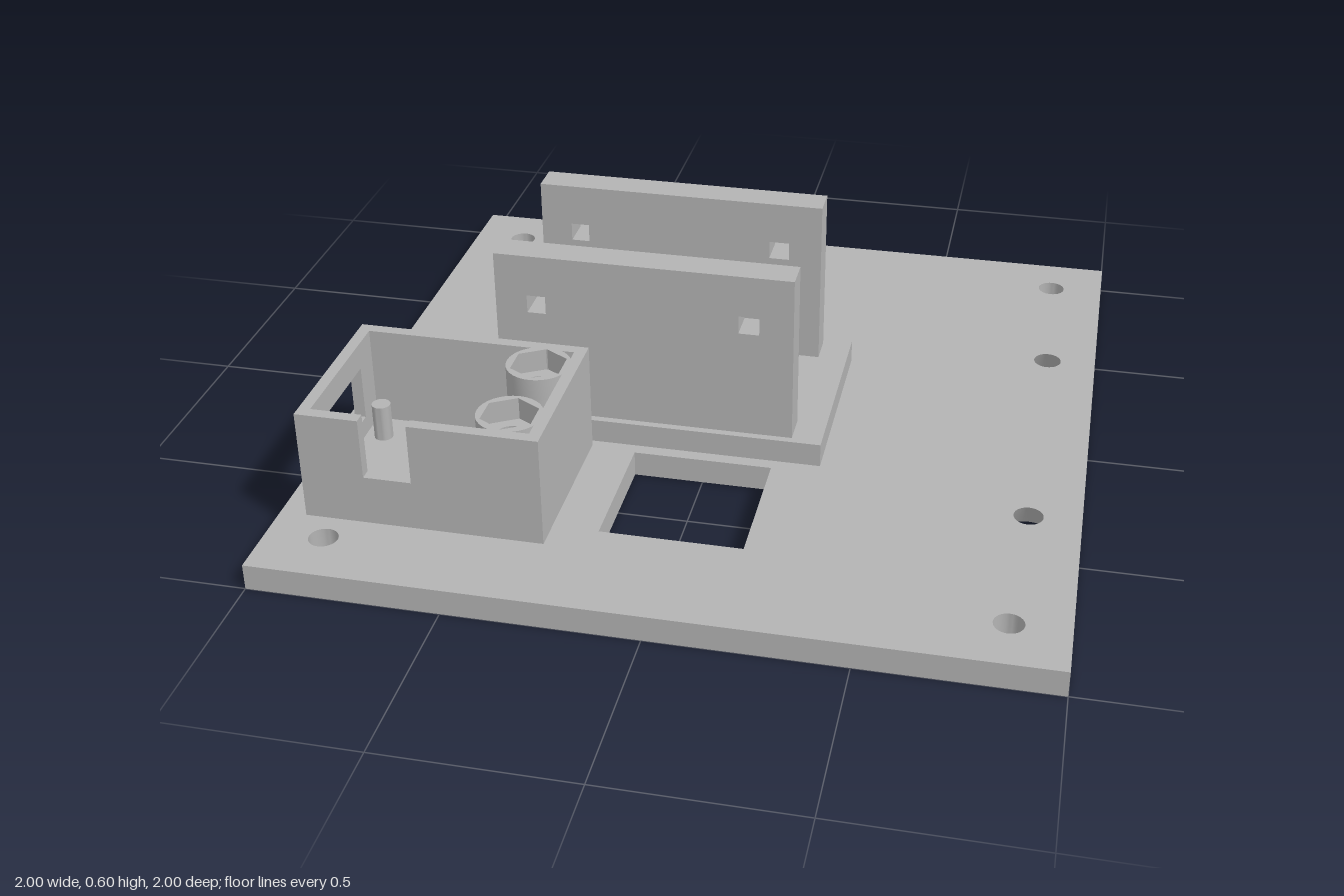
import * as THREE from 'three';
import { toCreasedNormals } from 'three/addons/utils/BufferGeometryUtils.js';

const grey = new THREE.MeshStandardMaterial({ color: 0xb3b3b3 });
grey.name = 'grey plastic';

function polygon(points, Type = THREE.Path) {
  return new Type(points.map(([x, y]) => new THREE.Vector2(x, y)));
}
function rect(x0, x1, y0, y1, Type = THREE.Path) {
  return polygon([[x0, y0], [x1, y0], [x1, y1], [x0, y1]], Type);
}
function circle(x, y, r, Type = THREE.Path) {
  const path = new Type();
  path.absarc(x, y, r, 0, Math.PI * 2, false);
  return path;
}
function hexagon(x, y, r) {
  const corners = [];
  for (let i = 0; i < 6; i++) {
    const a = Math.PI / 2 + i * Math.PI / 3;
    corners.push([x + r * Math.cos(a), y + r * Math.sin(a)]);
  }
  return polygon(corners);
}
function extrude(shape, holes, depth) {
  shape.holes.push(...holes);
  return new THREE.ExtrudeGeometry(shape, { depth, bevelEnabled: false, curveSegments: 16 });
}
function add(parent, name, geometry) {
  const mesh = new THREE.Mesh(toCreasedNormals(geometry, 0.6), grey);
  mesh.name = name;
  parent.add(mesh);
  return mesh;
}
// horizontal layer between two heights; outlines are drawn in (x, -z)
function layer(parent, name, y0, y1, shape, holes = []) {
  return add(parent, name, extrude(shape, holes, y1 - y0).rotateX(-Math.PI / 2).translate(0, y0, 0));
}
// upright panel facing z; outline is drawn in (x, y)
function panel(parent, name, z0, z1, shape, holes = []) {
  return add(parent, name, extrude(shape, holes, z1 - z0).translate(0, 0, z0));
}
function group(parent, name) {
  const g = new THREE.Group();
  g.name = name;
  parent.add(g);
  return g;
}

export function createModel() {
  const model = new THREE.Group();
  model.name = 'mountingBoard';
  const top = 0.07;

  // base plate with screw holes, shaft hole and square opening
  const base = group(model, 'base');
  const holes = [circle(0, 0, 0.055), rect(-0.185, 0.185, -0.685, -0.315)];
  for (const x of [-0.85, 0.85]) for (const z of [-0.85, 0.85]) holes.push(circle(x, z, 0.038));
  for (const z of [-0.4, 0.4]) holes.push(circle(0.865, z, 0.077));
  layer(base, 'basePlate', 0, top, rect(-1, 1, -1, 1, THREE.Shape), holes);

  // screw holes countersunk from below
  for (const z of [-0.4, 0.4]) {
    const profile = [[0.077, top], [0.038, top], [0.077, 0]].map(([r, y]) => new THREE.Vector2(r, y));
    add(base, 'countersink', new THREE.LatheGeometry(profile, 32)).position.set(0.865, 0, z);
  }

  // bracket: open footing with two upright plates
  const bracket = group(model, 'bracket');
  layer(bracket, 'bracketFoot', top, 0.135, rect(-0.65, 0.31, -0.28, 0.285, THREE.Shape),
    [rect(-0.51, 0.175, -0.175, 0.175)]);
  for (const z of [-0.26, 0.175]) {
    panel(bracket, 'bracketPlate', z, z + 0.085, rect(-0.565, 0.23, 0.135, 0.6, THREE.Shape),
      [rect(-0.48, -0.43, 0.435, 0.485), rect(0.085, 0.14, 0.435, 0.485)]);
  }

  // open-topped box: floor and four walls
  const box = group(model, 'box');
  const rim = 0.37;
  const [x0, x1, z0, z1] = [-0.93, -0.305, 0.3, 0.765];
  const t = 0.031;
  layer(box, 'boxFloor', top, 0.1, rect(x0 + t, x1 - t, -z1 + t, -z0 - t, THREE.Shape));
  panel(box, 'boxBackWall', z0, z0 + t, rect(x0, x1, top, rim, THREE.Shape));
  panel(box, 'boxFrontWall', z1 - t, z1, polygon([[x0, top], [x1, top], [x1, rim], [-0.64, rim],
    [-0.64, 0.205], [-0.765, 0.205], [-0.765, rim], [x0, rim]], THREE.Shape));
  panel(box, 'boxLeftWall', z0 + t, z1 - t, rect(x1 - t, x1, top, rim, THREE.Shape));
  add(box, 'boxRightWall', extrude(rect(z0 + t, z1 - t, top, rim, THREE.Shape),
    [rect(0.41, 0.63, 0.15, 0.3)], t).rotateY(-Math.PI / 2).translate(x0 + t, 0, 0));

  // round posts with hexagonal nut pockets
  for (const z of [0.405, 0.655]) {
    const post = group(box, 'nutPost');
    const outline = () => circle(-0.41, -z, 0.085, THREE.Shape);
    layer(post, 'postBody', 0.1, 0.31, outline(), [circle(-0.41, -z, 0.038)]);
    layer(post, 'postNutPocket', 0.31, rim, outline(), [hexagon(-0.41, -z, 0.075)]);
  }

  // small locating pins
  for (const x of [-0.85, -0.54]) for (const z of [0.415, 0.65]) {
    add(box, 'pin', new THREE.CylinderGeometry(0.025, 0.025, 0.1, 24)).position.set(x, 0.15, z);
  }
  return model;
}
